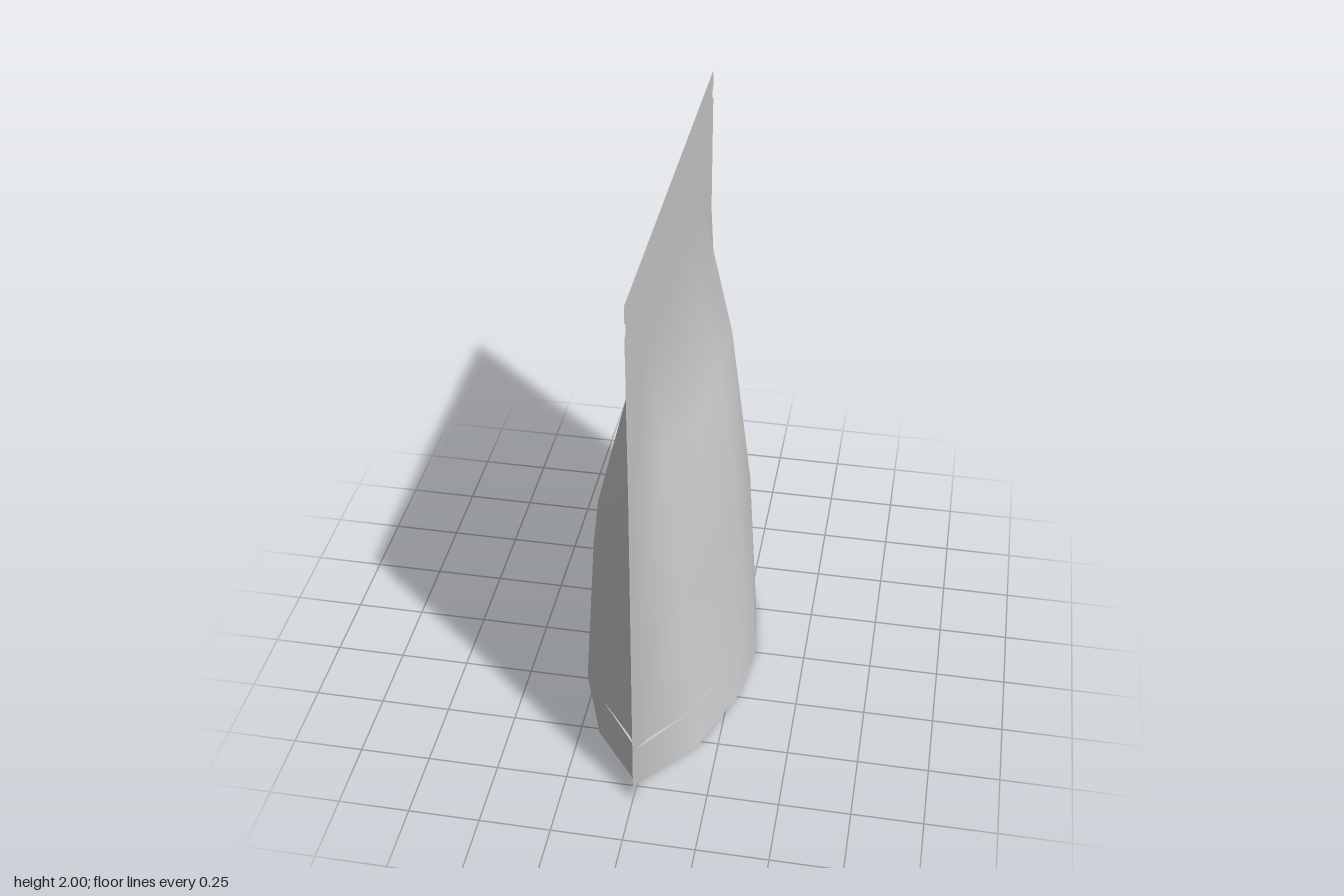
import * as THREE from 'three';

const material = new THREE.MeshStandardMaterial({ color: 0xcccccc, side: THREE.DoubleSide });

// Bulge of each panel (x) per height, sampled at the z columns
const COLUMNS = [0.74, 0.52, 0.24, 0, -0.24, -0.52, -0.74];
const HEIGHTS = [0, 0.65, 1.28, 1.67];
const BASE = [0, 0.18, 0.285, 0.315, 0.285, 0.18, 0];
const FLAT = [0, 0, 0, 0, 0, 0, 0];
const LEFT = [BASE, [0, 0.11, 0.2, 0.24, 0.245, 0.13, 0], [0, 0.06, 0.14, 0.16, 0.165, 0.06, 0], FLAT];
const RIGHT = [BASE, [0, 0.13, 0.245, 0.28, 0.27, 0.13, 0], [0, 0.045, 0.115, 0.125, 0.14, 0.05, 0], FLAT];
const FLOOR_Y = 0.17;

// Smooth bulging wall; side is +1 or -1
function panel(rows, side) {
  const n = COLUMNS.length, pos = [], index = [];
  rows.forEach((row, r) => row.forEach((x, c) => pos.push(side * x, HEIGHTS[r], COLUMNS[c])));
  for (let r = 0; r < rows.length - 1; r++) {
    for (let c = 0; c < n - 1; c++) {
      const a = r * n + c, b = a + 1, d = a + n, e = d + 1;
      if (side > 0) index.push(a, b, e, a, e, d);
      else index.push(a, e, b, a, d, e);
    }
  }
  const g = new THREE.BufferGeometry();
  g.setAttribute('position', new THREE.Float32BufferAttribute(pos, 3));
  g.setIndex(index);
  g.computeVertexNormals();
  // Blend the shading into the flat seal along the joined border
  for (let i = 0; i < g.attributes.position.count; i++) {
    if (g.attributes.position.getX(i) === 0) g.attributes.normal.setXYZ(i, side, 0, 0);
  }
  return g;
}

// Flat seal: top band and two side strips with tear notches
function seal() {
  const outer = [[0.81, 0], [0.805, 0.65], [0.8, 1.28], [0.81, 1.89], [0.795, 1.9],
    [0.79, 1.917], [0.795, 1.934], [0.81, 1.945], [0.81, 2]];
  const mirror = (pts) => pts.map(([z, y]) => [-z, y]).reverse();
  const outline = [...outer, ...mirror(outer), [-0.74, 0], [-0.74, 1.67], [0.74, 1.67], [0.74, 0]];
  const shape = new THREE.Shape(outline.map(([z, y]) => new THREE.Vector2(z, y)));
  return new THREE.ShapeGeometry(shape).rotateY(-Math.PI / 2);
}

// Raised floor between the panels, facing down
function floor() {
  const t = FLOOR_Y / HEIGHTS[1];
  const edge = (rows, side) => COLUMNS.map((z, c) =>
    new THREE.Vector2(side * THREE.MathUtils.lerp(rows[0][c], rows[1][c], t), z));
  const loop = [...edge(LEFT, 1), ...edge(RIGHT, -1).reverse().slice(1, -1)];
  return new THREE.ShapeGeometry(new THREE.Shape(loop)).rotateX(Math.PI / 2).translate(0, FLOOR_Y, 0);
}

export function createModel() {
  const group = new THREE.Group();
  group.name = 'pouch';
  const add = (name, geometry) => {
    const mesh = new THREE.Mesh(geometry, material);
    mesh.name = name;
    group.add(mesh);
  };
  add('leftPanel', panel(LEFT, 1));
  add('rightPanel', panel(RIGHT, -1));
  add('edgeSeal', seal());
  add('bottomGusset', floor());
  return group;
}
